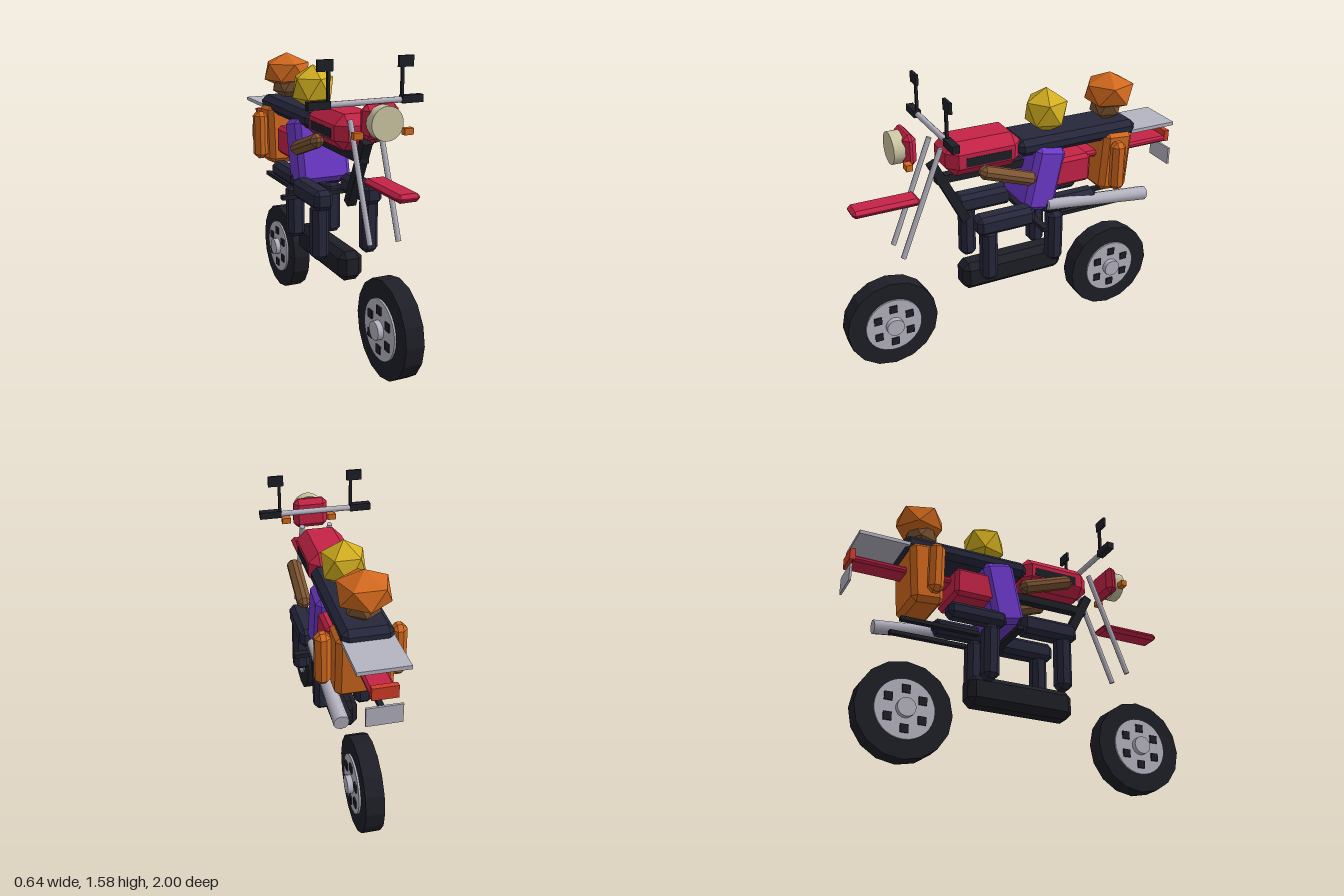
import * as THREE from 'three';
import { ConvexGeometry } from 'three/addons/geometries/ConvexGeometry.js';

const mat = (name, color) => {
  const m = new THREE.MeshStandardMaterial({ color });
  m.name = name;
  return m;
};

export function createModel() {
  const black = mat('black', 0x1e1f27);
  const navy = mat('darkNavy', 0x26283c);
  const red = mat('red', 0xc62347);
  const purple = mat('purple', 0x6d3acb);
  const orange = mat('orange', 0xd2691e);
  const yellow = mat('yellow', 0xd4b020);
  const brown = mat('brown', 0x7d5533);
  const silver = mat('silver', 0xb5b3c1);
  const cream = mat('cream', 0xcec7a4);
  const tailRed = mat('tailRed', 0xd23c28);

  const model = new THREE.Group();

  const add = (name, geo, m, x, y, z, rotX = 0, parent = model) => {
    const mesh = new THREE.Mesh(geo, m);
    mesh.name = name;
    mesh.position.set(x, y, z);
    mesh.rotation.x = rotX;
    parent.add(mesh);
    return mesh;
  };
  const box = (w, h, d) => new THREE.BoxGeometry(w, h, d);

  // box with cut edges and corners
  const chamfer = (w, h, d, c) => {
    const pts = [];
    for (const sx of [-1, 1]) for (const sy of [-1, 1]) for (const sz of [-1, 1]) {
      const x = w / 2, y = h / 2, z = d / 2;
      pts.push(
        new THREE.Vector3(sx * x, sy * (y - c), sz * (z - c)),
        new THREE.Vector3(sx * (x - c), sy * y, sz * (z - c)),
        new THREE.Vector3(sx * (x - c), sy * (y - c), sz * z));
    }
    return new ConvexGeometry(pts);
  };

  // cylinder lying along x
  const axle = (r, len, n) => new THREE.CylinderGeometry(r, r, len, n).rotateZ(Math.PI / 2);

  // bar between two points (y, z) at a given x
  const bar = (name, geoFor, m, x, [y1, z1], [y2, z2]) => {
    const dy = y2 - y1, dz = z2 - z1;
    return add(name, geoFor(Math.hypot(dy, dz)), m, x, (y1 + y2) / 2, (z1 + z2) / 2, Math.atan2(dz, dy));
  };

  // faceted ball standing on its vertex
  const gem = (r, sy) => new THREE.IcosahedronGeometry(r, 0)
    .rotateX(-Math.atan((1 + Math.sqrt(5)) / 2)).scale(1, sy, 1);

  // wheels: tyre, rim disc, hub cap and six square bolts a side
  for (const [name, z] of [['frontWheel', 0.74], ['rearWheel', -0.65]]) {
    const wheel = new THREE.Group();
    wheel.name = name;
    wheel.position.set(0, 0.262, z);
    model.add(wheel);
    const tyre = axle(0.26, 0.1, 16).toNonIndexed();
    tyre.computeVertexNormals();
    add('tyre', tyre, black, 0, 0, 0, 0, wheel);
    add('rim', axle(0.16, 0.12, 32), silver, 0, 0, 0, 0, wheel);
    add('hub', axle(0.05, 0.18, 16), silver, 0, 0, 0, 0, wheel);
    for (let i = 0; i < 6; i++) {
      const a = Math.PI / 2 + i * Math.PI / 3;
      add('bolt', box(0.135, 0.044, 0.044), black, 0, 0.105 * Math.sin(a), 0.105 * Math.cos(a), 0, wheel);
    }
  }

  // frame and engine block
  add('engineBlock', chamfer(0.14, 0.165, 0.62, 0.035), black, 0, 0.4375, 0.005);
  bar('downTube', (l) => box(0.05, l, 0.05), black, 0, [1.16, 0.46], [0.79, 0.275]);
  add('backbone', box(0.05, 0.045, 0.84), black, 0, 1.063, 0.02);
  add('footPegs', box(0.49, 0.024, 0.038), black, 0, 0.75, -0.095);

  // fuel tank with side stripes
  add('fuelTank', chamfer(0.26, 0.19, 0.43, 0.055), red, 0, 1.193, 0.195);
  add('tankStripe', box(0.264, 0.05, 0.26), black, 0, 1.185, 0.185);

  // seat, side panels and tail
  add('seat', chamfer(0.26, 0.095, 0.73, 0.03), navy, 0, 1.188, -0.36);
  add('sidePanels', chamfer(0.28, 0.165, 0.26, 0.02), red, 0, 1.012, -0.302);
  add('rearFender', chamfer(0.13, 0.036, 0.64, 0.012), red, 0, 1.048, -0.67);
  add('luggageRack', box(0.26, 0.02, 0.28), silver, 0, 1.17, -0.835);
  add('tailLight', box(0.13, 0.065, 0.03), tailRed, 0, 1.067, -0.985);
  add('rearPlate', box(0.18, 0.1, 0.012), silver, 0, 0.945, -0.994);

  // exhaust on one side
  bar('exhaust', (l) => new THREE.CylinderGeometry(0.04, 0.032, l, 10), silver, 0.15, [0.848, -0.15], [0.777, -0.79]);

  // front fender and headlight
  add('frontFender', chamfer(0.125, 0.042, 0.37, 0.018), red, 0, 0.978, 0.728);
  add('headlightShell', chamfer(0.2, 0.175, 0.07, 0.028), red, 0, 1.288, 0.597);
  add('headlightLens', new THREE.CylinderGeometry(0.086, 0.086, 0.06, 24), cream, 0, 1.29, 0.652, Math.PI / 2);

  // handlebar
  add('handlebar', axle(0.016, 0.42, 10), silver, 0, 1.358, 0.445);

  for (const s of [-1, 1]) {
    // steering parts
    bar('forkTube', (l) => new THREE.CylinderGeometry(0.015, 0.015, l, 8), silver, s * 0.08, [0.685, 0.668], [1.272, 0.435]);
    add('grip', box(0.12, 0.04, 0.04), black, s * 0.26, 1.36, 0.447);
    add('mirrorStem', box(0.015, 0.17, 0.015), black, s * 0.205, 1.455, 0.447);
    add('mirror', box(0.085, 0.058, 0.016), black, s * 0.224, 1.552, 0.447);
    add('turnSignal', box(0.05, 0.034, 0.034), orange, s * 0.137, 1.235, 0.632);
    add('swingArm', box(0.03, 0.022, 0.44), black, s * 0.09, 0.737, -0.495);

    // rider limbs
    add('riderThigh', chamfer(0.11, 0.11, 0.34, 0.025), navy, s * 0.145, 0.815, 0.11);
    add('riderShin', chamfer(0.095, 0.31, 0.09, 0.025), navy, s * 0.148, 0.63, 0.205);
    add('riderArm', chamfer(0.075, 0.075, 0.345, 0.026), brown, s * 0.172, 1.088, 0.098, -0.335);

    // passenger limbs
    add('passengerThigh', chamfer(0.1, 0.09, 0.34, 0.025), navy, s * 0.115, 0.83, -0.3);
    add('passengerShin', chamfer(0.1, 0.31, 0.09, 0.025), navy, s * 0.115, 0.63, -0.215);
    add('passengerArm', chamfer(0.08, 0.285, 0.085, 0.026), orange, s * 0.193, 1.017, -0.567);
  }

  // rider body and helmet
  add('riderTorso', chamfer(0.31, 0.37, 0.185, 0.028), purple, 0, 0.995, -0.145, -0.22);
  add('riderFace', gem(0.09, 1), brown, 0, 1.305, -0.215);
  add('riderHelmet', gem(0.13, 1), yellow, 0, 1.34, -0.215);

  // passenger body and helmet
  add('passengerTorso', chamfer(0.3, 0.35, 0.18, 0.028), orange, 0, 1.015, -0.595, -0.075);
  add('passengerFace', gem(0.1, 1), brown, 0, 1.315, -0.595);
  add('passengerHelmet', gem(0.15, 0.74), orange, 0, 1.385, -0.61);

  return model;
}
